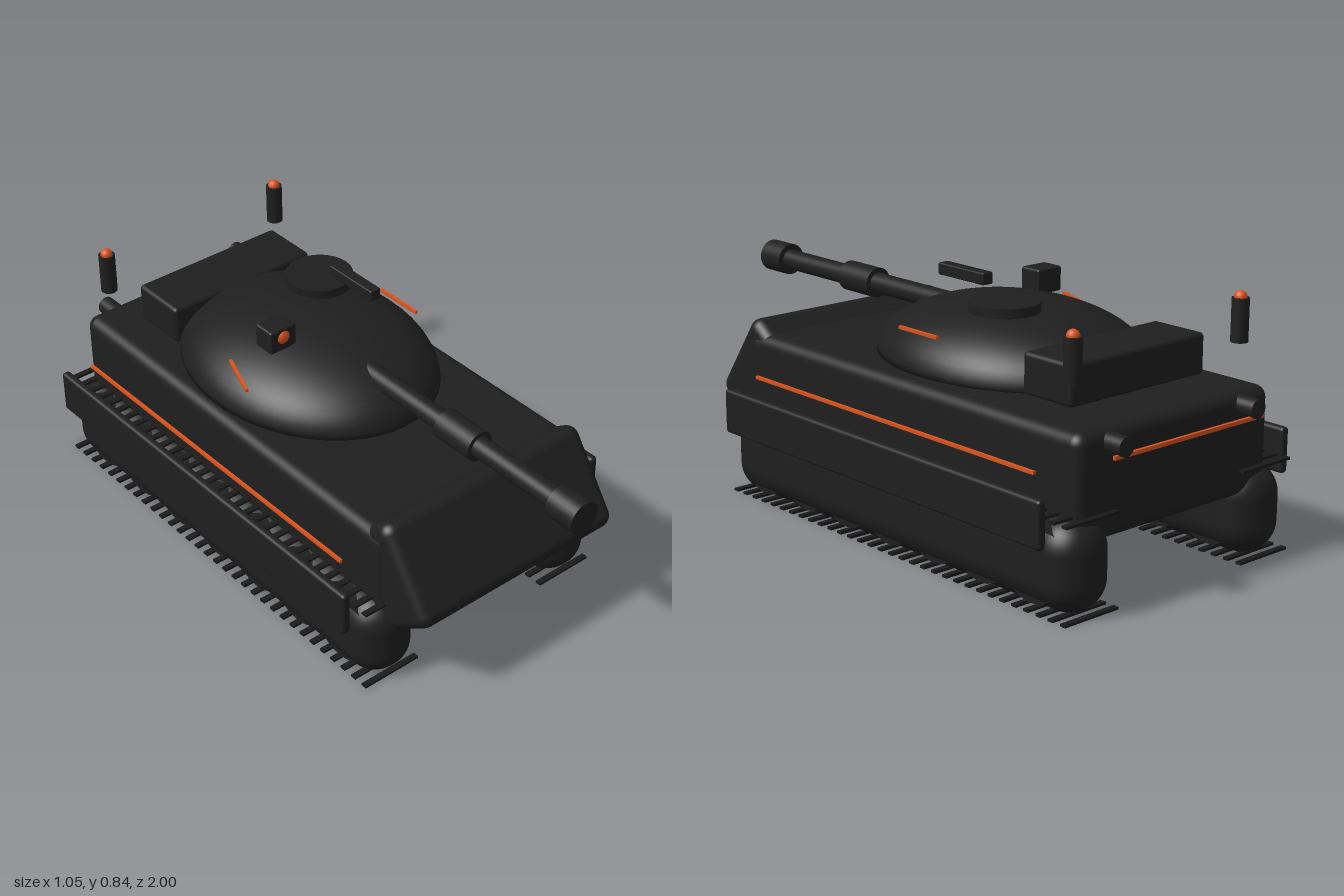
import * as THREE from 'three';
import { RoundedBoxGeometry } from 'three/addons/geometries/RoundedBoxGeometry.js';

export function createModel() {
  const model = new THREE.Group();
  model.name = 'tank';

  const armour = new THREE.MeshStandardMaterial({ color: 0x1f1f1f });
  armour.name = 'charcoal armour';
  const rubber = new THREE.MeshStandardMaterial({ color: 0x1a1a1a });
  rubber.name = 'black tread';
  const glow = new THREE.MeshStandardMaterial({ color: 0xd9531e });
  glow.name = 'orange light';

  const add = (name, geometry, material, x, y, z) => {
    const mesh = new THREE.Mesh(geometry, material);
    mesh.name = name;
    mesh.position.set(x, y, z);
    model.add(mesh);
    return mesh;
  };
  const box = (w, h, d) => new THREE.BoxGeometry(w, h, d);
  const rounded = (w, h, d, r) => new RoundedBoxGeometry(w, h, d, 6, r);
  const cylinder = (r, length, axis = 'y') => {
    const g = new THREE.CylinderGeometry(r, r, length, 32);
    if (axis === 'x') g.rotateZ(Math.PI / 2);
    if (axis === 'z') g.rotateX(Math.PI / 2);
    return g;
  };

  // Hull and sloped nose
  add('hull', rounded(0.8, 0.33, 1.54, 0.04), armour, 0, 0.37, -0.17);
  add('glacis', rounded(0.79, 0.34, 0.218, 0.04), armour, 0, 0.39, 0.597).rotation.x = -0.614;

  // Running gear, skirts and side lights, mirrored
  const trackShape = rounded(0.21, 0.286, 1.605, 0.1);
  const wheelShape = cylinder(0.13, 0.17, 'x');
  const cleatShape = box(0.21, 0.008, 0.02);
  for (const side of [-1, 1]) {
    const x = side * 0.365;
    add('track', trackShape, armour, x, 0.147, -0.175);
    for (let i = 0; i < 7; i++) {
      add('roadWheel', wheelShape, armour, x, 0.155, 0.455 - i * 0.21);
    }
    for (let i = 0; i < 32; i++) {
      const z = 0.593 - i * 0.05;
      add('lowerCleat', cleatShape, rubber, x, 0.007, z);
      add('upperCleat', cleatShape, rubber, x, 0.295, z);
    }
    add('sideSkirt', rounded(0.03, 0.147, 1.48, 0.012), armour, side * 0.51, 0.298, -0.175);
    add('sideLight', box(0.01, 0.01, 1.3), glow, side * 0.458, 0.417, -0.175);

    // Rear exhausts and beacon posts
    add('exhaust', cylinder(0.03, 0.08, 'z'), armour, side * 0.275, 0.495, -0.96);
    add('beaconPost', cylinder(0.027, 0.135), armour, side * 0.346, 0.726, -0.855);
    add('beacon', new THREE.SphereGeometry(0.02, 20, 14), glow, side * 0.346, 0.795, -0.855);
  }
  add('rearLight', box(0.62, 0.012, 0.01), glow, 0, 0.467, -0.986);

  // Turret dome with a closed base, its tail buried in the bustle
  const profile = [new THREE.Vector2(0, 0)];
  for (let i = 0; i <= 16; i++) {
    const a = (i / 16) * Math.PI / 2;
    profile.push(new THREE.Vector2(i === 16 ? 0 : Math.cos(a), Math.sin(a)));
  }
  const dome = new THREE.LatheGeometry(profile, 48);
  dome.scale(0.379, 0.19, 0.475);
  add('turret', dome, armour, 0, 0.555, -0.24);
  add('turretBustle', rounded(0.555, 0.13, 0.203, 0.015), armour, 0, 0.62, -0.681);

  // Turret light strips
  add('turretLight', box(0.01, 0.01, 0.175), glow, 0.327, 0.67, -0.177);
  add('turretLight', box(0.01, 0.01, 0.17), glow, -0.326, 0.67, -0.18).rotation.y = -0.35;

  // Main gun
  add('barrel', cylinder(0.034, 0.96, 'z'), armour, 0, 0.669, 0.5);
  add('barrelSleeve', cylinder(0.05, 0.15, 'z'), armour, 0, 0.669, 0.49);
  add('muzzle', cylinder(0.053, 0.105, 'z'), armour, 0, 0.669, 0.947);

  // Roof fittings
  add('hatch', cylinder(0.11, 0.03), armour, 0.139, 0.755, -0.354);
  add('roofGun', rounded(0.04, 0.038, 0.207, 0.005), armour, 0.139, 0.824, -0.176);
  add('sensorHousing', rounded(0.1, 0.08, 0.08, 0.008), armour, -0.177, 0.76, -0.18);
  add('sensorLens', new THREE.SphereGeometry(0.029, 24, 16), glow, -0.177, 0.768, -0.158);

  return model;
}
